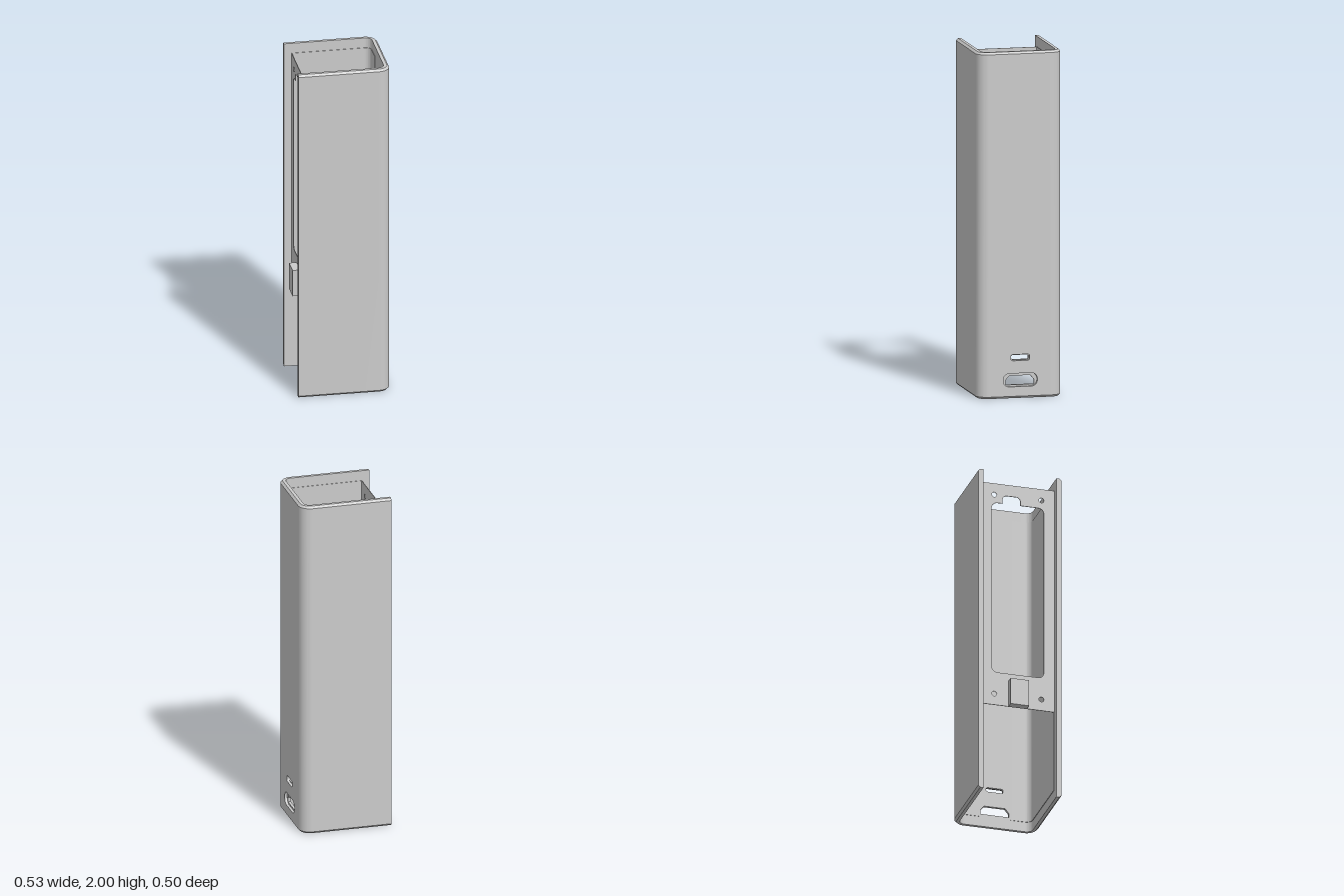
import * as THREE from 'three';
import { toCreasedNormals } from 'three/addons/utils/BufferGeometryUtils.js';

const X = 0.267, Z = 0.2475, R = 0.068, WALL = 0.031, CH = 0.012, H = 2;
const PANEL = 0.15; // half width of the flat panel between the two arms

const material = new THREE.MeshStandardMaterial({ color: 0xcccccc });

function part(name, geometry) {
  const mesh = new THREE.Mesh(geometry, material);
  mesh.name = name;
  return mesh;
}

// Outer wall line of one side: straight run, rounded corner, short return
function armPath(xStart, zEnd) {
  const path = [{ x: xStart, z: Z, nx: 0, nz: 1 }];
  for (let i = 0; i <= 14; i++) {
    const a = (i / 14) * Math.PI / 2, nx = Math.sin(a), nz = Math.cos(a);
    path.push({ x: X - R + R * nx, z: Z - R + R * nz, nx, nz });
  }
  path.push({ x: X, z: zEnd, nx: 1, nz: 0 });
  return path;
}

// Sweep a convex section of [depth, height] along a path; side -1 mirrors in z
function sweep(path, section, side = 1) {
  const rings = path.map(p => section.map(([d, y]) => [p.x - p.nx * d, y, side * (p.z - p.nz * d)]));
  const pos = [];
  const tri = (a, b, c) => side > 0 ? pos.push(...a, ...b, ...c) : pos.push(...a, ...c, ...b);
  const n = section.length, last = rings[rings.length - 1], first = rings[0];
  for (let i = 0; i < rings.length - 1; i++) {
    for (let j = 0; j < n; j++) {
      const k = (j + 1) % n, p = rings[i], q = rings[i + 1];
      tri(p[j], q[j], q[k]);
      tri(p[j], q[k], p[k]);
    }
  }
  for (let j = 1; j < n - 1; j++) {
    tri(first[0], first[j], first[j + 1]);
    tri(last[0], last[j + 1], last[j]);
  }
  const g = new THREE.BufferGeometry();
  g.setAttribute('position', new THREE.Float32BufferAttribute(pos, 3));
  return toCreasedNormals(g, 0.4);
}

function roundedRect(Type, w, y0, y1, r) {
  const s = new Type();
  s.moveTo(-w + r, y0);
  s.lineTo(w - r, y0);
  s.absarc(w - r, y0 + r, r, -Math.PI / 2, 0);
  s.lineTo(w, y1 - r);
  s.absarc(w - r, y1 - r, r, 0, Math.PI / 2);
  s.lineTo(-w + r, y1);
  s.absarc(-w + r, y1 - r, r, Math.PI / 2, Math.PI);
  s.lineTo(-w, y0 + r);
  s.absarc(-w + r, y0 + r, r, Math.PI, Math.PI * 1.5);
  return s;
}

function rect(w, y0, y1) {
  return new THREE.Shape([[-w, y0], [w, y0], [w, y1], [-w, y1]].map(p => new THREE.Vector2(...p)));
}

// Upright sheet facing +x, starting at x0
function sheet(shape, holes, x0, depth) {
  shape.holes.push(...holes);
  const g = new THREE.ExtrudeGeometry(shape, { depth, bevelEnabled: false, curveSegments: 10 });
  return g.rotateY(Math.PI / 2).translate(x0, 0, 0);
}

export function createModel() {
  const model = new THREE.Group();
  model.name = 'deviceSleeve';

  // Side walls with rounded corners, chamfered top and bottom, and thin liners
  const wallSection = [[WALL, 0], [CH, 0], [0, CH], [0, H - CH], [CH, H], [WALL, H]];
  const t = WALL + 0.003;
  const linerSection = [[t, 0.06], [WALL, 0.06], [WALL, 1.94], [t, 1.94]];
  for (const side of [1, -1]) {
    const label = side > 0 ? 'front' : 'back';
    model.add(part(label + 'Wall', sweep(armPath(-X, PANEL), wallSection, side)));
    model.add(part(label + 'Liner', sweep(armPath(-0.222, 0.093), linerSection, side)));
  }

  // Flat panel joining the walls
  const across = [{ x: X, z: PANEL, nx: 1, nz: 0 }, { x: X, z: -PANEL, nx: 1, nz: 0 }];
  const split = 0.3;
  model.add(part('upperPanel', sweep(across,
    [[WALL, split], [0, split], [0, H - CH], [CH, H], [WALL, H]])));
  model.add(part('bottomRim', sweep(across, [[WALL, 0], [CH, 0], [0, CH], [WALL, CH]])));

  // Port area: recessed outer openings over smaller through holes
  const recess = 0.015;
  model.add(part('portPanelOuter', sheet(rect(PANEL, CH, split), [
    roundedRect(THREE.Path, 0.1, 0.067, 0.144, 0.036),
    roundedRect(THREE.Path, 0.055, 0.217, 0.253, 0.012),
  ], X - recess, recess)));
  const port = new THREE.Path([[-0.084, 0.077], [0.084, 0.077], [0.084, 0.102], [0.062, 0.129],
    [-0.062, 0.129], [-0.084, 0.102]].map(p => new THREE.Vector2(...p)));
  model.add(part('portPanelInner', sheet(rect(PANEL, CH, split), [
    port, roundedRect(THREE.Path, 0.05, 0.222, 0.248, 0.009),
  ], X - WALL, WALL - recess)));

  // Thin mounting plate with a window and four screw holes
  const w = 0.155, top = 1.82, low = 0.755, r = 0.035;
  const win = new THREE.Path();
  win.moveTo(-w + r, low);
  win.lineTo(w - r, low);
  win.absarc(w - r, low + r, r, -Math.PI / 2, 0);
  win.lineTo(w, top - r);
  win.absarc(w - r, top - r, r, 0, Math.PI / 2);
  win.lineTo(0.09, top);
  win.lineTo(0.09, 1.845);
  win.absarc(0.065, 1.845, 0.025, 0, Math.PI / 2);
  win.lineTo(0.01, 1.87);
  win.absarc(0.01, 1.845, 0.025, Math.PI / 2, Math.PI);
  win.lineTo(-0.015, top);
  win.lineTo(-w + r, top);
  win.absarc(-w + r, top - r, r, Math.PI / 2, Math.PI);
  win.lineTo(-w, low + r);
  win.absarc(-w + r, low + r, r, Math.PI, Math.PI * 1.5);
  const holes = [win];
  for (const z of [-0.14, 0.14]) {
    for (const y of [0.62, 1.87]) {
      holes.push(new THREE.Path().absarc(z, y, 0.015, 0, Math.PI * 2));
    }
  }
  model.add(part('mountingPlate', sheet(rect(Z - WALL, 0.55, 1.94), holes, -0.224, 0.004)));

  // Block standing off the lower edge of the plate
  model.add(part('connectorBlock',
    new THREE.BoxGeometry(0.045, 0.16, 0.11).translate(-0.2445, 0.63, 0)));

  return model;
}
